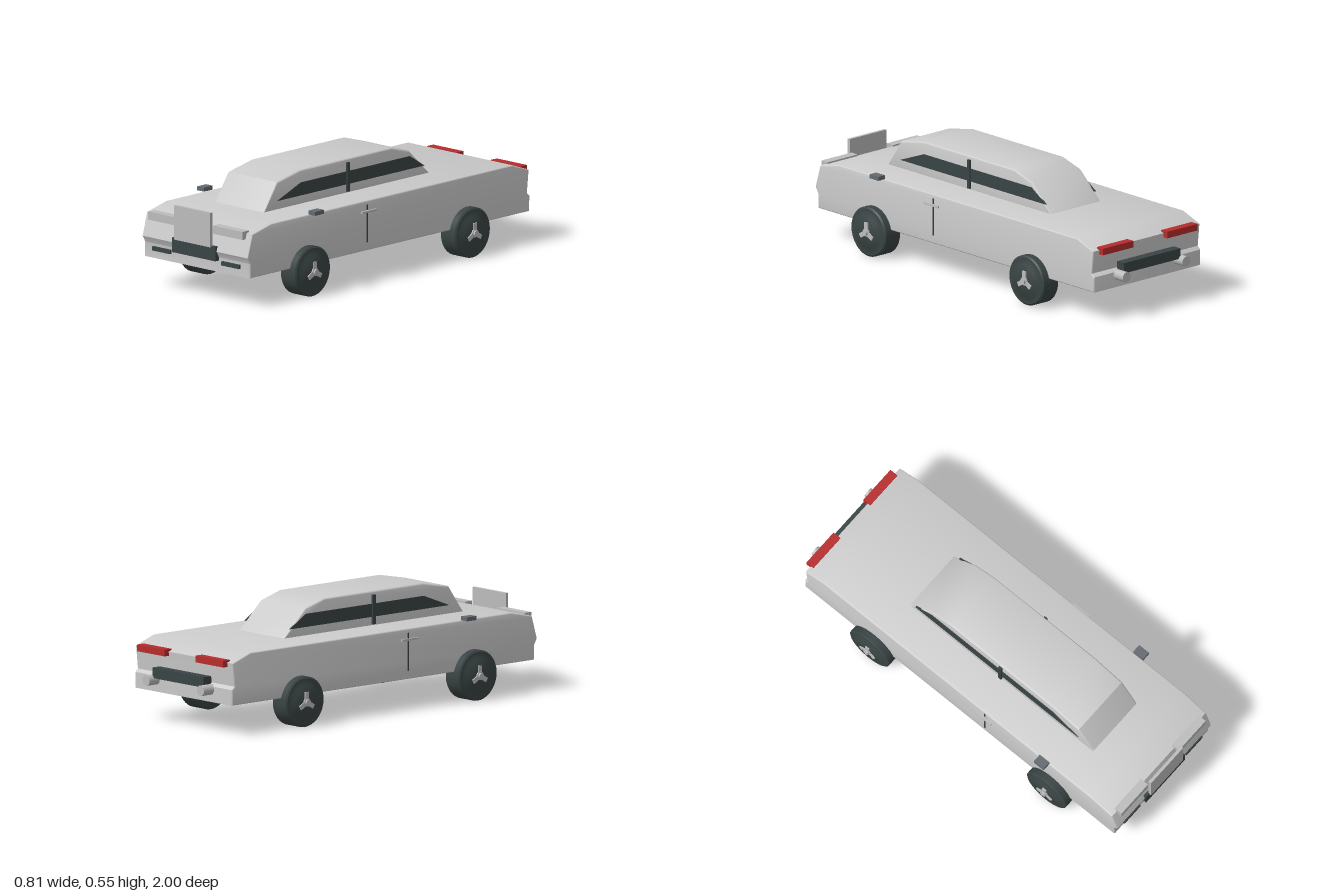
import * as THREE from 'three';
import { toCreasedNormals } from 'three/addons/utils/BufferGeometryUtils.js';

const mat = (name, color) => {
  const m = new THREE.MeshStandardMaterial({ color });
  m.name = name;
  return m;
};

export function createModel() {
  const paint = mat('silver paint', 0xcccccc);
  const trim = mat('light trim', 0xbcbcbc);
  const dark = mat('dark trim', 0x3a4444);
  const grey = mat('mirror grey', 0x636a70);
  const red = mat('red lamp', 0xb82c2c);

  const car = new THREE.Group();
  car.name = 'car';

  const add = (name, geometry, material, x = 0, y = 0, z = 0, parent = car) => {
    const mesh = new THREE.Mesh(geometry, material);
    mesh.name = name;
    mesh.position.set(x, y, z);
    parent.add(mesh);
    return mesh;
  };

  // Box given by its lower and upper limits on each axis
  const block = (name, material, [x0, x1], [y0, y1], [z0, z1]) =>
    add(name, new THREE.BoxGeometry(x1 - x0, y1 - y0, z1 - z0), material,
      (x0 + x1) / 2, (y0 + y1) / 2, (z0 + z1) / 2);

  // Side outline of (z, y) points extruded across the car's width
  const slab = (points, width, bevel) => {
    const shape = new THREE.Shape(points.map(([z, y]) => new THREE.Vector2(z, y)));
    const geo = new THREE.ExtrudeGeometry(shape, {
      depth: width - 2 * bevel, bevelEnabled: bevel > 0, bevelSize: bevel,
      bevelThickness: bevel, bevelOffset: -bevel, bevelSegments: 3,
    });
    geo.translate(0, 0, bevel - width / 2);
    geo.rotateY(-Math.PI / 2);
    return toCreasedNormals(geo, 0.55);
  };

  // Main body and cabin
  add('body', slab([
    [-0.935, 0.145], [0.965, 0.145], [0.965, 0.215], [0.982, 0.245], [0.95, 0.355],
    [0.82, 0.385], [-0.82, 0.385], [-0.932, 0.345], [-0.92, 0.235], [-0.937, 0.22],
  ], 0.68, 0.006), paint);
  add('cabin', slab([
    [-0.455, 0.375], [0.687, 0.375], [0.59, 0.515], [0.43, 0.547], [-0.19, 0.547], [-0.31, 0.512],
  ], 0.316, 0.008), paint);

  // Front plate, grille and rear bumper bar
  block('frontPlate', trim, [-0.116, 0.116], [0.265, 0.43], [0.985, 1.0]);
  block('grille', dark, [-0.14, 0.14], [0.2, 0.27], [0.955, 0.99]);
  block('rearBar', dark, [-0.18, 0.18], [0.215, 0.265], [-0.97, -0.91]);

  // Wheel: tyre, rims, hubs, caps and three blades on both faces
  const tyreGeo = toCreasedNormals(new THREE.LatheGeometry([
    [0, -0.058], [0.078, -0.058], [0.09, -0.05], [0.112, -0.05], [0.12, -0.044],
    [0.12, 0.044], [0.112, 0.05], [0.09, 0.05], [0.078, 0.058], [0, 0.058],
  ].map(([r, y]) => new THREE.Vector2(r, y)), 36), 0.6).rotateZ(-Math.PI / 2);
  const hubGeo = new THREE.CylinderGeometry(0.02, 0.02, 0.13, 20).rotateZ(Math.PI / 2);
  const capGeo = new THREE.CylinderGeometry(0.014, 0.014, 0.148, 20).rotateZ(Math.PI / 2);
  const bladeGeo = new THREE.BoxGeometry(0.128, 0.045, 0.022).translate(0, 0.026, 0);
  const makeWheel = (name, x, z) => {
    const wheel = new THREE.Group();
    wheel.name = name;
    wheel.position.set(x, 0.12, z);
    add('tyre', tyreGeo, dark, 0, 0, 0, wheel);
    add('hub', hubGeo, trim, 0, 0, 0, wheel);
    add('hubCap', capGeo, trim, 0, 0, 0, wheel);
    for (let i = 0; i < 3; i++)
      add('blade', bladeGeo, trim, 0, 0, 0, wheel).rotation.x = (i * Math.PI * 2) / 3;
    car.add(wheel);
  };

  const windowGeo = slab([[-0.41, 0.425], [0.59, 0.425], [0.43, 0.487], [-0.31, 0.487]], 0.009, 0);
  const tailKnobGeo = new THREE.CylinderGeometry(0.025, 0.025, 0.075, 24).rotateX(Math.PI / 2);

  // Parts mirrored on both sides
  for (const s of [-1, 1]) {
    const side = s > 0 ? 'left' : 'right';
    const span = (a, b) => (s > 0 ? [a, b] : [-b, -a]);
    add(side + 'Window', windowGeo, dark, s * 0.157, 0, 0);
    block(side + 'Pillar', dark, span(0.15, 0.168), [0.39, 0.53], [0.105, 0.122]);
    block(side + 'DoorLine', dark, span(0.337, 0.343), [0.185, 0.365], [0.166, 0.173]);
    block(side + 'DoorHandle', trim, span(0.348, 0.357), [0.33, 0.34], [0.12, 0.22]);
    block(side + 'HandleMount', trim, span(0.335, 0.35), [0.331, 0.339], [0.16, 0.18]);
    block(side + 'Mirror', grey, span(0.337, 0.38), [0.385, 0.404], [0.505, 0.565]);
    block(side + 'Headlight', trim, span(0.112, 0.304), [0.327, 0.366], [0.935, 0.978]);
    block(side + 'FogLamp', dark, span(0.165, 0.28), [0.183, 0.202], [0.95, 0.978]);
    block(side + 'TailLamp', red, span(0.108, 0.302), [0.325, 0.357], [-0.957, -0.915]);
    add(side + 'TailKnob', tailKnobGeo, trim, s * 0.19, 0.205, -0.9625);
    makeWheel(side + 'FrontWheel', s * 0.329, 0.577);
    makeWheel(side + 'RearWheel', s * 0.329, -0.51);
  }

  return car;
}
